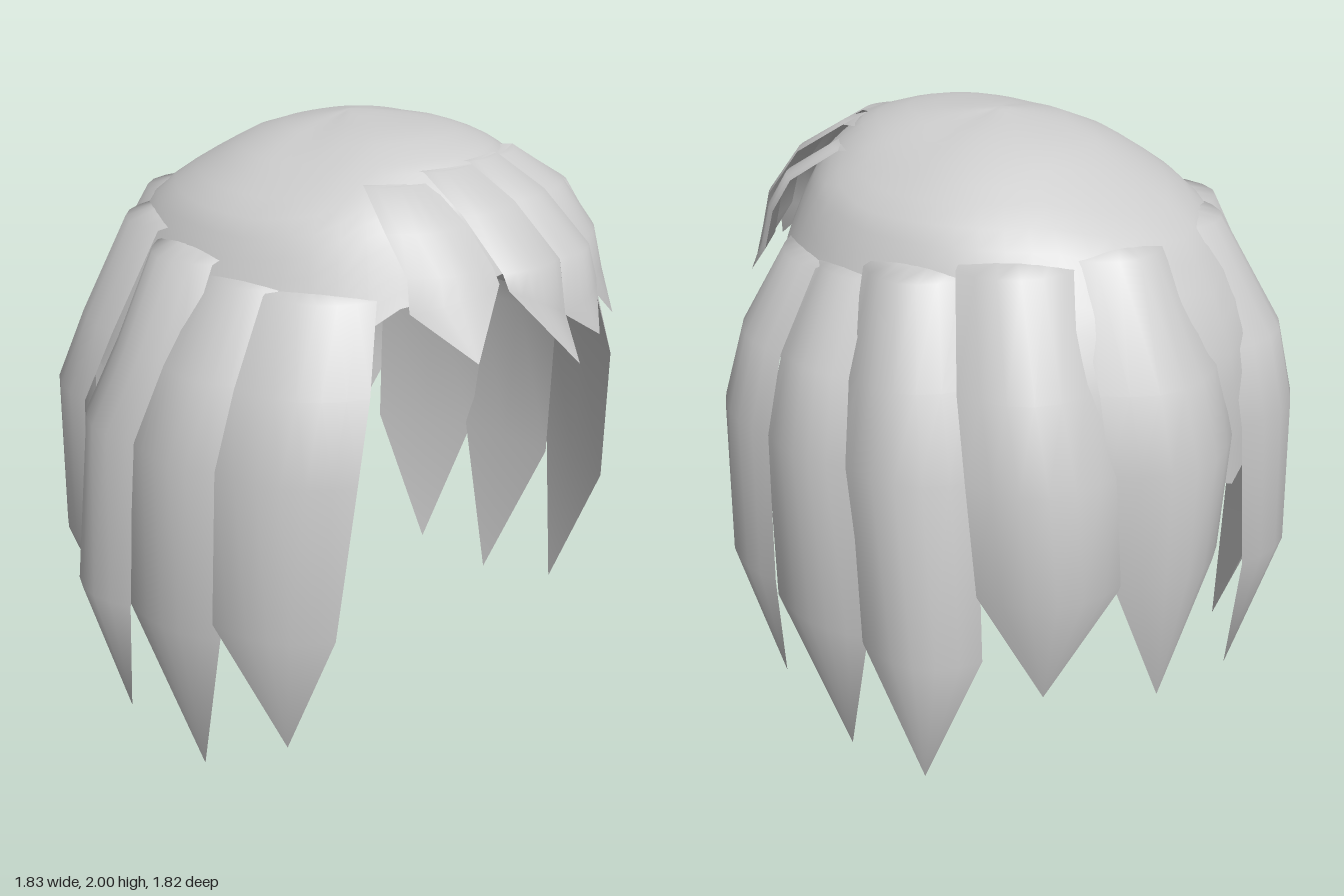
import * as THREE from 'three';
import { mergeVertices } from 'three/addons/utils/BufferGeometryUtils.js';

const hair = new THREE.MeshStandardMaterial({ color: 0xcccccc, side: THREE.DoubleSide });
hair.name = 'hairGrey';

// Piecewise linear lookup in a list of [key, value] pairs
function lookup(pairs, k) {
  let i = 1;
  while (i < pairs.length - 1 && k > pairs[i][0]) i++;
  const [k0, v0] = pairs[i - 1], [k1, v1] = pairs[i];
  return v0 + (v1 - v0) * THREE.MathUtils.clamp((k - k0) / (k1 - k0), 0, 1);
}

// Point on a ring around the head: angle in degrees from the front, + towards +x
function ring(deg, r, y) {
  const a = THREE.MathUtils.degToRad(deg);
  return [Math.sin(a) * r, y, Math.cos(a) * r];
}

// Smooth surface from a grid of points
function sheet(name, nu, nv, point) {
  const pos = [], idx = [];
  for (let j = 0; j <= nv; j++) for (let i = 0; i <= nu; i++) pos.push(...point(i / nu, j));
  for (let j = 0; j < nv; j++) for (let i = 0; i < nu; i++) {
    const a = j * (nu + 1) + i, b = a + nu + 1;
    idx.push(a, b, a + 1, a + 1, b, b + 1);
  }
  let g = new THREE.BufferGeometry();
  g.setAttribute('position', new THREE.Float32BufferAttribute(pos, 3));
  g.setIndex(idx);
  g = mergeVertices(g, 1e-4);
  g.computeVertexNormals();
  const mesh = new THREE.Mesh(g, hair);
  mesh.name = name;
  return mesh;
}

// Pointed solid lock: bulging outside and flat inside.
// Each row is [y, edge radius, start angle, end angle, y at the end if it slants]
function lock(name, rows, bulge, side = 1) {
  const group = new THREE.Group();
  group.name = name;
  const last = rows.length - 1;
  const outer = (u, j) => {
    const [y, r, a0, a1, y1 = y] = rows[j];
    const b = j === last ? 0 : bulge * Math.sin(Math.PI * u);
    return ring(side * (a0 + (a1 - a0) * u), r + b, y + (y1 - y) * u);
  };
  const inner = (u, j) => {
    const end = outer(1, j);
    return outer(0, j).map((v, k) => v + (end[k] - v) * u);
  };
  group.add(sheet('lockOutside', 6, last, outer), sheet('lockInside', 2, last, inner));
  return group;
}

// Crown cap: dome blended from three profiles, rim high at the forehead and pointed at the nape
function cap() {
  const front = [[1.4, 0.76], [1.58, 0.7], [1.7, 0.65], [1.85, 0.58], [1.94, 0.47], [1.98, 0.34], [1.995, 0.2], [2, 0]];
  const sides = [[0.97, 0.85], [1.25, 0.79], [1.45, 0.7], [1.62, 0.62], [1.7, 0.585], [1.79, 0.53],
    [1.9, 0.37], [1.97, 0.2], [2, 0]];
  const back = [[0.97, 0.87], [1.25, 0.86], [1.4, 0.835], [1.55, 0.77], [1.72, 0.65], [1.83, 0.48],
    [1.93, 0.3], [1.965, 0.18], [2, 0]];
  const rim = [[0, 1.66], [42, 1.58], [58, 1.35], [80, 1.25], [140, 1.25], [180, 0.97]];
  const rows = 16;
  return sheet('crownCap', 48, rows, (u, j) => {
    const deg = u * 360 - 180, t = j / rows;
    const y = 2 - (2 - lookup(rim, Math.abs(deg))) * t ** 1.8;
    const c = Math.cos(THREE.MathUtils.degToRad(deg));
    const r = THREE.MathUtils.lerp(lookup(sides, y), lookup(c > 0 ? front : back, y), c * c);
    return ring(deg, r, y);
  });
}

export function createModel() {
  const model = new THREE.Group();
  model.name = 'hair';
  model.add(cap());

  // Long locks: angle ranges at the top, middle and low rows, tip angle, top height,
  // edge radii from top to low row, bulge, then [low y, tip y, tip radius] for left and right
  const locks = [
    { name: 'frontSideLock', top: [43, 71], mid: [48, 75], low: [52, 76], tip: 63, y: 1.61,
      r: [0.66, 0.805, 0.88, 0.9], bulge: 0.035, ends: [[0.66, 0.18, 0.8], [0.66, 0.21, 0.81]] },
    { name: 'sideLock', top: [68, 90], mid: [73, 96], low: [75, 100], tip: 88, y: 1.62,
      r: [0.63, 0.78, 0.87, 0.885], bulge: 0.03, ends: [[0.6, 0.07, 0.77], [0.6, 0, 0.75]] },
    { name: 'rearSideLock', top: [88, 116], mid: [93, 122], low: [99, 123], tip: 110, y: 1.66,
      r: [0.63, 0.74, 0.84, 0.89], bulge: 0.07, ends: [[0.58, 0.09, 0.83], [0.58, 0.1, 0.83]] },
    { name: 'rearCornerLock', top: [115, 147], mid: [120, 149], low: [122, 150], tip: 135, y: 1.69,
      r: [0.63, 0.78, 0.875, 0.89], bulge: 0.07, ends: [[0.8, 0.42, 0.85], [0.62, 0.1, 0.78]] },
    { name: 'backLock', top: [145, 176], mid: [147, 178], low: [148, 174], tip: 161, y: 1.71,
      r: [0.62, 0.82, 0.875, 0.885], bulge: 0.075, ends: [[0.8, 0.33, 0.85], [0.65, 0.13, 0.8]] },
  ];
  [1, -1].forEach((side, s) => {
    for (const l of locks) {
      const [lowY, tipY, tipR] = l.ends[s];
      const half = l.top.map((a, i) => (a + l.mid[i]) / 2);
      model.add(lock((side > 0 ? 'left ' : 'right ') + l.name, [
        [l.y + 0.02, l.r[0] - 0.1, ...l.top],
        [l.y, l.r[0], ...l.top],
        [1.38, l.r[1], ...half],
        [1.15, l.r[2], ...l.mid],
        [lowY, l.r[3], ...l.low],
        [tipY, tipR, l.tip, l.tip],
      ], l.bulge, side));
    }
  });

  // Fringe locks: root angles, low angles, low y at both edges, low radius, tip [angle, radius, y], root drop
  const fringe = [
    [[-45, -23], [-37, -16], [1.6, 1.65], 0.75, [-25, 0.85, 1.47], 0.04],
    [[-25, -5], [-17, 0], [1.65, 1.53], 0.81, [-3, 0.9, 1.41], 0.01],
    [[-7, 9], [-1, 12], [1.53, 1.59], 0.82, [6.5, 0.875, 1.45], 0],
    [[7, 27], [11, 29], [1.59, 1.56], 0.78, [23, 0.84, 1.43], 0.01],
    [[25, 45], [28, 43], [1.56, 1.57], 0.74, [40, 0.79, 1.49], 0.05],
  ];
  fringe.forEach(([root, low, [y0, y1], r, [ta, tr, ty], drop], i) => {
    const mid = root.map((a, k) => (a + low[k]) / 2);
    model.add(lock('fringeLock' + (i + 1), [
      [1.92 - drop, 0.4, ...root],
      [1.93 - drop, 0.5, ...root],
      [1.84 - drop, 0.65, ...mid],
      [1.69, r - 0.03, ...low],
      [y0, r, ...low, y1],
      [ty, tr, ta, ta],
    ], 0.02));
  });
  return model;
}
